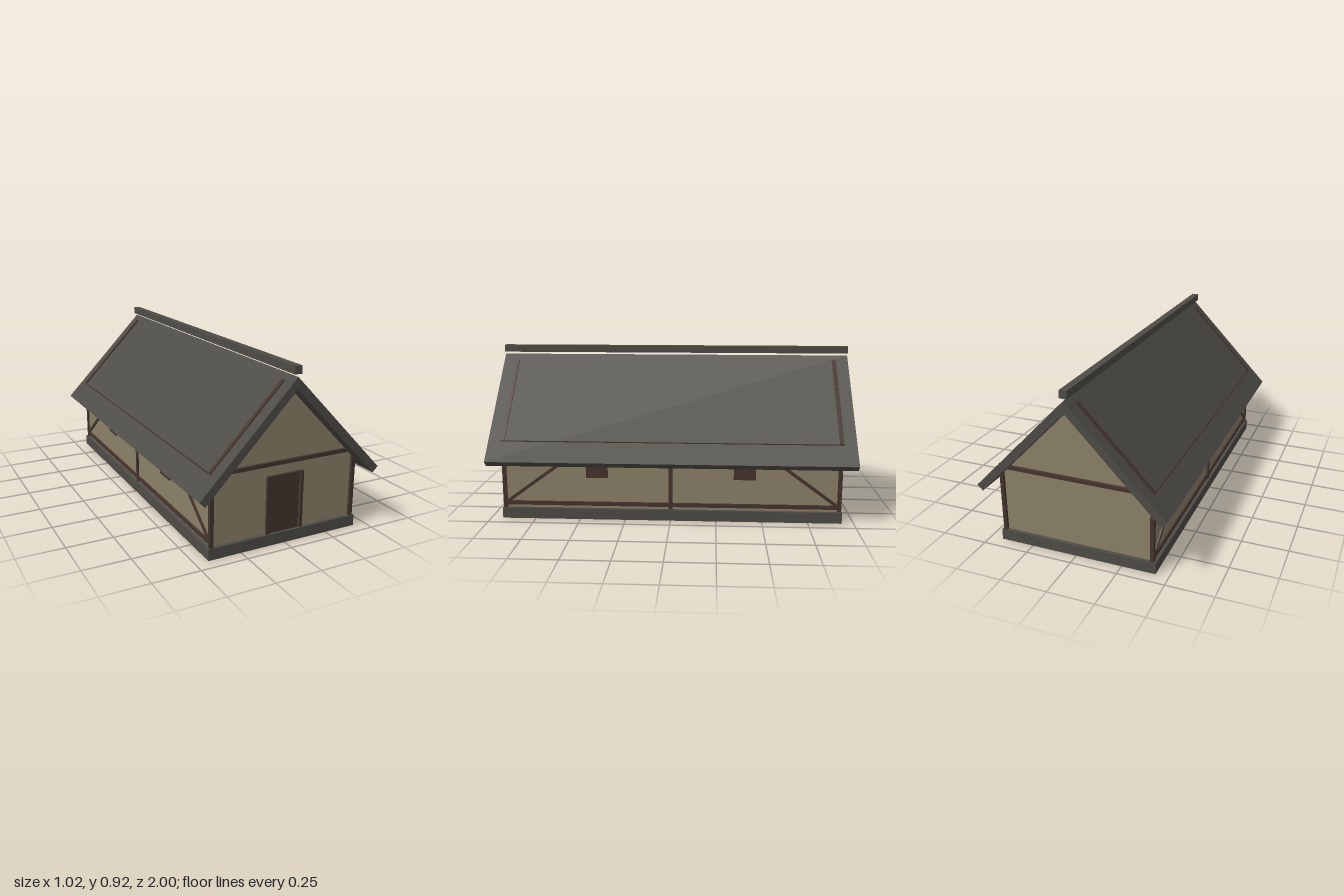
import * as THREE from 'three';

const mat = (name, color) => {
  const m = new THREE.MeshStandardMaterial({ color });
  m.name = name;
  return m;
};

export function createModel() {
  const house = new THREE.Group();
  house.name = 'house';
  const slate = mat('dark grey', 0x4e4c46);
  const plaster = mat('tan plaster', 0x8c8169);
  const timber = mat('dark timber', 0x45352e);

  const add = (name, geo, material) => {
    const m = new THREE.Mesh(geo, material);
    m.name = name;
    house.add(m);
    return m;
  };
  // box given by its min and max corners
  const box = (name, material, x0, x1, y0, y1, z0, z1) => {
    const m = add(name, new THREE.BoxGeometry(x1 - x0, y1 - y0, z1 - z0), material);
    m.position.set((x0 + x1) / 2, (y0 + y1) / 2, (z0 + z1) / 2);
    return m;
  };
  // outline in x/y, extruded evenly along z
  const prism = (name, material, pts, depth) => {
    const shape = new THREE.Shape(pts.map(([x, y]) => new THREE.Vector2(x, y)));
    const geo = new THREE.ExtrudeGeometry(shape, { depth, bevelEnabled: false });
    return add(name, geo.translate(0, 0, -depth / 2), material);
  };

  // base, walls with gables, ridge
  box('foundation', slate, -0.43, 0.43, 0, 0.06, -0.935, 0.935);
  prism('walls', plaster, [[-0.41, 0.06], [0.41, 0.06], [0.41, 0.41], [0, 0.835], [-0.41, 0.41]], 1.83);
  box('ridgeBeam', slate, -0.02, 0.02, 0.883, 0.923, -1, 1);

  for (const s of [-1, 1]) {
    // roof slope
    prism('roofSlope', slate, [[0, 0.87], [0, 0.81], [s * 0.48, 0.313], [s * 0.51, 0.342]], 2);

    // long wall framing
    const xa = s > 0 ? 0.4 : -0.42;
    const xb = xa + 0.02;
    box('sillBeam', timber, xa, xb, 0.075, 0.097, -0.92, 0.92);
    box('wallPlate', timber, xa, xb, 0.42, 0.44, -0.93, 0.93);
    box('middlePost', timber, xa, xb, 0.06, 0.441, -0.01, 0.01);
    for (const e of [-1, 1]) {
      const zc = e * 0.92;
      box('cornerPost', timber, xa, xb, 0.06, 0.43, zc - 0.011, zc + 0.011);
      box('window', timber, s * 0.415 - 0.004, s * 0.415 + 0.004, 0.235, 0.345, e * 0.405 - 0.06, e * 0.405 + 0.06);

      // diagonal brace from the corner foot up to the wall plate
      const dz = -0.45, dy = 0.33;
      const brace = add('brace', new THREE.BoxGeometry(0.016, 0.017, Math.hypot(dz, dy)), timber);
      brace.position.set(s * 0.41, 0.095 + dy / 2, e * (0.905 + dz / 2));
      brace.rotation.x = e * Math.atan2(dy, -dz);

      // gable rafter, showing just above the roof surface
      const rafter = add('rafter', new THREE.BoxGeometry(Math.hypot(0.39, 0.405), 0.02, 0.022), timber);
      rafter.position.set(s * 0.219, 0.637, zc);
      rafter.rotation.z = -s * Math.atan2(0.405, 0.39);
    }
    // beam across each gable
    box('gableBeam', timber, -0.42, 0.42, 0.42, 0.44, s * 0.92 - 0.01, s * 0.92 + 0.01);

    // door jambs
    box('doorJamb', timber, s * 0.0975 - 0.0075, s * 0.0975 + 0.0075, 0.06, 0.367, 0.91, 0.93);
  }

  // door on the front
  box('doorLintel', timber, -0.105, 0.105, 0.352, 0.367, 0.91, 0.93);
  box('door', timber, -0.085, 0.085, 0.06, 0.352, 0.913, 0.921);

  return house;
}
